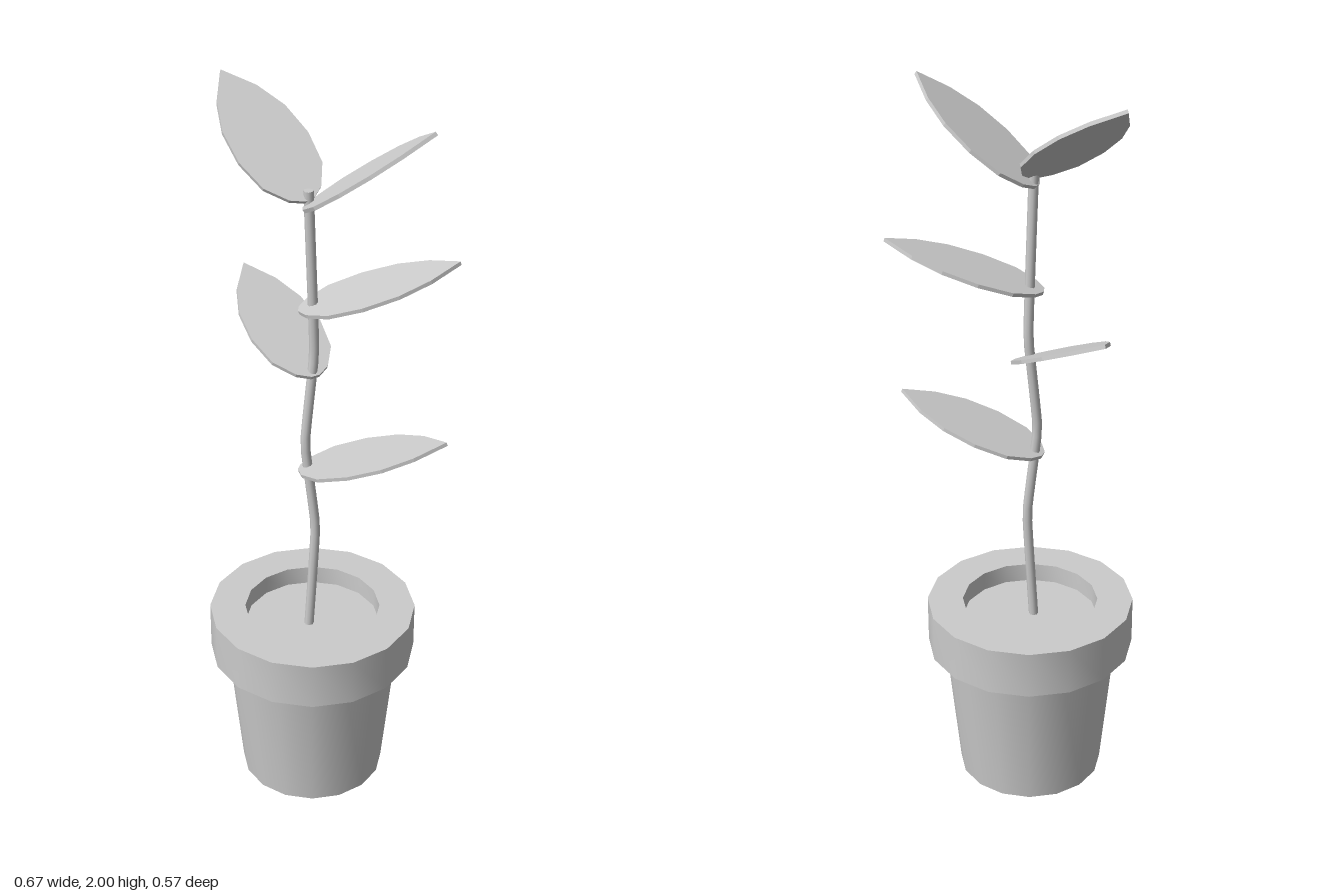
import * as THREE from 'three';
import { toCreasedNormals } from 'three/addons/utils/BufferGeometryUtils.js';

const POT_X = 0.013;
const LEAF_HALF_WIDTH = 0.104;
const LEAF_THICKNESS = 0.01;

// Half outline of a leaf: fraction of its length, fraction of its half width
const LEAF_PROFILE = [[-0.03, 0.12], [0.02, 0.46], [0.16, 0.85], [0.38, 1], [0.61, 0.9], [0.81, 0.57], [1, 0]];

// base, tip, rough sideways direction
const LEAVES = [
  { name: 'lowerRearLeaf', base: [0, 0.985, 0.02], tip: [0.335, 1.12, -0.168], side: [0.047, 0, 0.083] },
  { name: 'middleSideLeaf', base: [0.015, 1.268, 0], tip: [-0.335, 1.435, -0.085], side: [-0.024, 0, 0.1] },
  { name: 'upperRearLeaf', base: [0, 1.455, 0.02], tip: [0.283, 1.587, -0.252], side: [0.066, 0, 0.069] },
  { name: 'topLeftLeaf', base: [0.012, 1.74, 0.012], tip: [0.32, 1.98, -0.099], side: [0.037, -0.005, 0.1] },
  { name: 'topRightLeaf', base: [0.008, 1.762, 0.016], tip: [-0.315, 1.997, -0.002], side: [-0.017, -0.017, 0.098] },
];

function makeLeaf({ name, base, tip, side }, material) {
  const start = new THREE.Vector3(...base);
  const along = new THREE.Vector3(...tip).sub(start);
  const length = along.length();
  along.normalize();
  const normal = along.clone().cross(new THREE.Vector3(...side)).normalize();
  const across = normal.clone().cross(along);

  const half = LEAF_PROFILE.map(([t, w]) => new THREE.Vector2(t * length, w * LEAF_HALF_WIDTH));
  const mirrored = half.slice(0, -1).map((p) => new THREE.Vector2(p.x, -p.y));
  const shape = new THREE.Shape([...mirrored, ...half.reverse()]);
  const geometry = new THREE.ExtrudeGeometry(shape, { depth: LEAF_THICKNESS, bevelEnabled: false });
  geometry.translate(0, 0, -LEAF_THICKNESS / 2);
  geometry.applyMatrix4(new THREE.Matrix4().makeBasis(along, across, normal).setPosition(start));

  const leaf = new THREE.Mesh(geometry, material);
  leaf.name = name;
  return leaf;
}

export function createModel() {
  const model = new THREE.Group();
  model.name = 'pottedPlant';
  const material = new THREE.MeshStandardMaterial({ color: 0xcccccc });

  // Pot: tapered body, thick rim and inner wall in one profile
  const profile = [[0, 0], [0.2, 0], [0.24, 0.4], [0.285, 0.4], [0.285, 0.533], [0.187, 0.533], [0.187, 0.46]]
    .map(([r, y]) => new THREE.Vector2(r, y));
  const pot = new THREE.Mesh(toCreasedNormals(new THREE.LatheGeometry(profile, 16), 0.6), material);
  pot.name = 'pot';
  pot.position.x = POT_X;
  model.add(pot);

  // Soil surface
  const soil = new THREE.Mesh(new THREE.CircleGeometry(0.187, 16).rotateX(-Math.PI / 2), material);
  soil.name = 'soil';
  soil.position.set(POT_X, 0.48, 0);
  model.add(soil);

  // Gently kinked stem with a flat top
  const stemPoints = [
    [0.013, 0.47, 0.014], [0.024, 0.8, 0], [0.003, 1.06, 0.018],
    [0.012, 1.32, -0.006], [0.013, 1.47, 0], [0.013, 1.78, 0.015],
  ].map((p) => new THREE.Vector3(...p));
  const stemCurve = new THREE.CatmullRomCurve3(stemPoints, false, 'catmullrom', 0.15);
  const stem = new THREE.Mesh(new THREE.TubeGeometry(stemCurve, 30, 0.013, 8), material);
  stem.name = 'stem';
  const stemTop = new THREE.Mesh(new THREE.CircleGeometry(0.013, 8).rotateX(-Math.PI / 2), material);
  stemTop.name = 'stemTop';
  stemTop.position.copy(stemPoints.at(-1));
  model.add(stem, stemTop);

  // Leaves
  for (const leaf of LEAVES) model.add(makeLeaf(leaf, material));

  return model;
}
